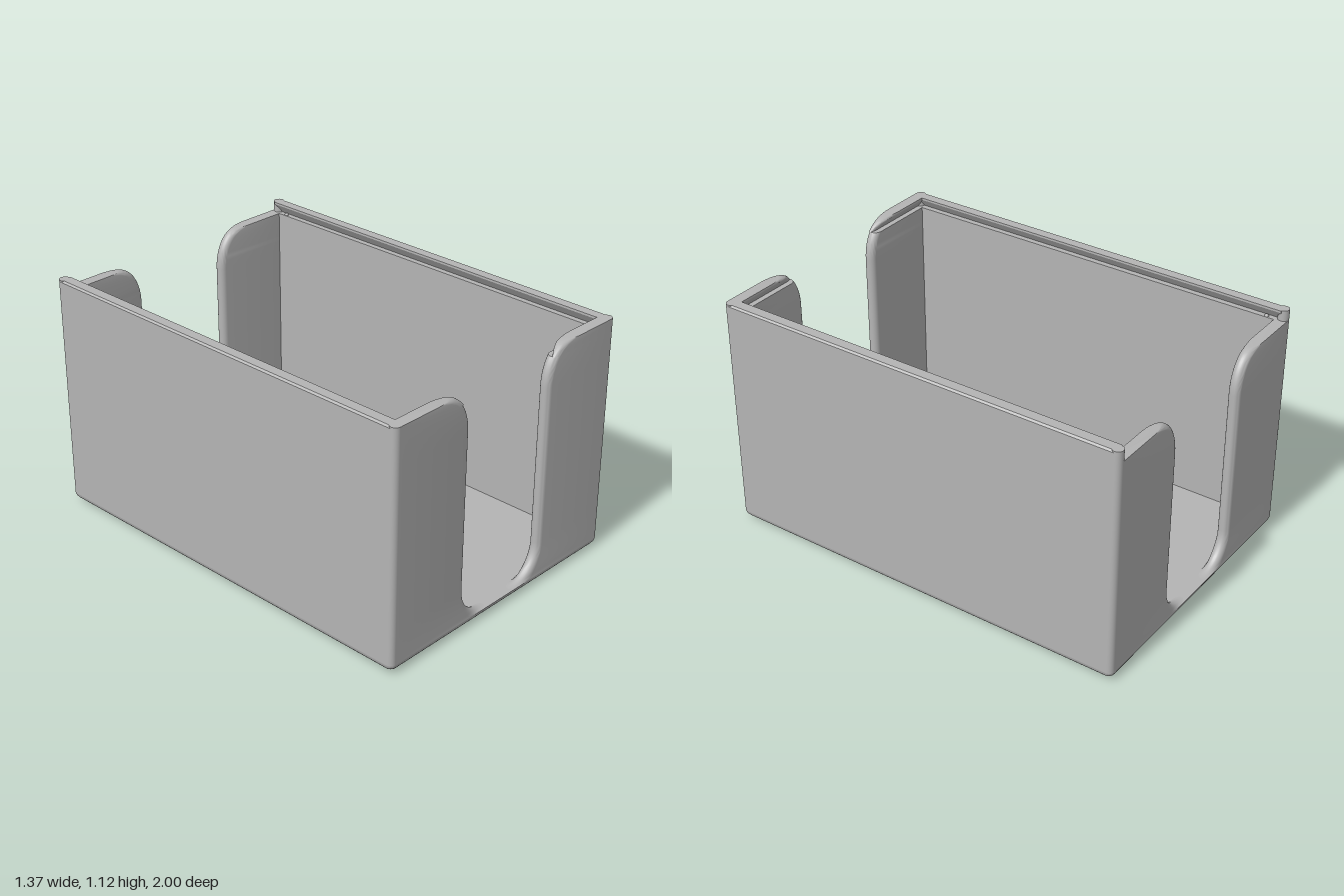
import * as THREE from 'three';
import { toCreasedNormals } from 'three/addons/utils/BufferGeometryUtils.js';

const HX = 0.685, HZ = 1, TOP = 1.12, SHELF = 1.07, FLOOR = 0.042, R = 0.025;
const INX = 0.63, INZ = 0.945;

// Skin a stack of closed [x, y, z] rings, with flat caps at both ends
function loft(rings, flip = false) {
  const n = rings[0].length, pos = rings.flat(2), idx = [];
  const tri = (a, b, c) => (flip ? idx.push(a, c, b) : idx.push(a, b, c));
  for (let i = 0; i < rings.length - 1; i++) {
    for (let j = 0; j < n; j++) {
      const a = i * n + j, b = i * n + (j + 1) % n;
      tri(a, a + n, b);
      tri(b, a + n, b + n);
    }
  }
  const last = (rings.length - 1) * n;
  for (let j = 1; j < n - 1; j++) {
    tri(0, j, j + 1);
    tri(last, last + j + 1, last + j);
  }
  const g = new THREE.BufferGeometry();
  g.setAttribute('position', new THREE.Float32BufferAttribute(pos, 3));
  g.setIndex(idx);
  return toCreasedNormals(g, 0.6);
}

// Rounded rectangle in plan
function planRing(hx, hz, y) {
  const ring = [];
  [[1, 1], [-1, 1], [-1, -1], [1, -1]].forEach(([sx, sz], q) => {
    for (let k = 0; k <= 6; k++) {
      const a = (q + k / 6) * Math.PI / 2;
      ring.push([sx * (hx - R) + R * Math.cos(a), y, sz * (hz - R) + R * Math.sin(a)]);
    }
  });
  return ring;
}

// Half-width of the U-shaped opening at height y
function cutEdge(y, top) {
  const arc = (v) => Math.sqrt(Math.max(0, 1 - v * v));
  if (y < 0.2) return 0.08 + 0.165 * arc((0.2 - y) / 0.158);
  if (y > top - 0.18) return 0.37 - 0.125 * arc((y - top + 0.18) / 0.18);
  return 0.245;
}

// One side of an end wall, with a rounded edge along the opening
function endPanel(sx, sz) {
  const top = sz > 0 ? TOP : SHELF;
  const rows = [];
  for (let k = 0; k <= 14; k++) {
    const t = k / 14 * Math.PI / 2;
    rows.push([0.2 - 0.158 * Math.cos(t), INZ]);
    const y = top - 0.18 + 0.18 * Math.sin(t);
    if (y < SHELF - 0.001) rows.push([y, INZ]);
  }
  rows.push([SHELF, INZ]);
  rows.sort((a, b) => a[0] - b[0]);
  // undercut lid groove, only in the front wall
  if (sz > 0) rows.push([SHELF, 0.972], [1.09, 0.9585], [1.105, 0.948], [1.11, INZ], [1.117, INZ], [TOP, INZ]);
  const rings = rows.map(([y, zi]) => {
    const e = cutEdge(y, top), d = 0.002;
    const slope = (cutEdge(Math.min(y + d, top), top) - cutEdge(Math.max(y - d, FLOOR), top)) / (2 * d);
    const rx = Math.min(0.07, 0.027 * Math.hypot(1, slope));
    const zc = (HZ + zi) / 2, rz = (HZ - zi) / 2;
    const ring = [[HX - R, y, zi], [HX - R, y, HZ]];
    for (let k = 0; k <= 12; k++) {
      const a = k / 12 * Math.PI;
      ring.push([e + rx - rx * Math.sin(a), y, zc + rz * Math.cos(a)]);
    }
    return ring.map(([x, yy, z]) => [x * sx, yy, z * sz]);
  });
  return loft(rings, sx * sz < 0);
}

// Side wall with the lid groove along its inner top edge
function sideWall(s) {
  const pts = [[INX, FLOOR], [HX, FLOOR], [HX, TOP - 0.008], [HX - 0.008, TOP],
    [INX, TOP], [INX, 1.11], [0.657, SHELF], [INX, SHELF]];
  const shape = new THREE.Shape(pts.map(([x, y]) => new THREE.Vector2(x * s, y)));
  const depth = 2 * (HZ - R);
  return new THREE.ExtrudeGeometry(shape, { depth, bevelEnabled: false }).translate(0, 0, -depth / 2);
}

export function createModel() {
  const group = new THREE.Group();
  const grey = new THREE.MeshStandardMaterial({ color: 0xb4b4b4 });
  grey.name = 'grey plastic';
  const add = (name, geo, x = 0, y = 0, z = 0) => {
    const m = new THREE.Mesh(geo, grey);
    m.name = name;
    m.position.set(x, y, z);
    group.add(m);
  };

  // Floor slab with a rounded lower edge
  const rings = [];
  for (let k = 0; k <= 8; k++) {
    const t = k / 8 * Math.PI / 2, inset = 0.06 * (1 - Math.sin(t));
    rings.push(planRing(HX - inset, HZ - inset, FLOOR * (1 - Math.cos(t))));
  }
  add('floor', loft(rings));

  for (const s of [1, -1]) {
    const side = s > 0 ? 'left' : 'right';
    add(side + 'Wall', sideWall(s));
    add(side + 'FrontPanel', endPanel(s, 1));
    add(side + 'BackPanel', endPanel(s, -1));
    // rounded vertical corners
    for (const z of [1, -1]) {
      const h = TOP - FLOOR;
      add(side + (z > 0 ? 'Front' : 'Back') + 'Corner', new THREE.CylinderGeometry(R, R, h, 24),
        s * (HX - R), FLOOR + h / 2, z * (HZ - R));
    }
    // small lid catch in the groove
    add(side + 'LidCatch', new THREE.SphereGeometry(0.01, 12, 8), s * 0.641, SHELF, -0.905);
  }
  return group;
}
